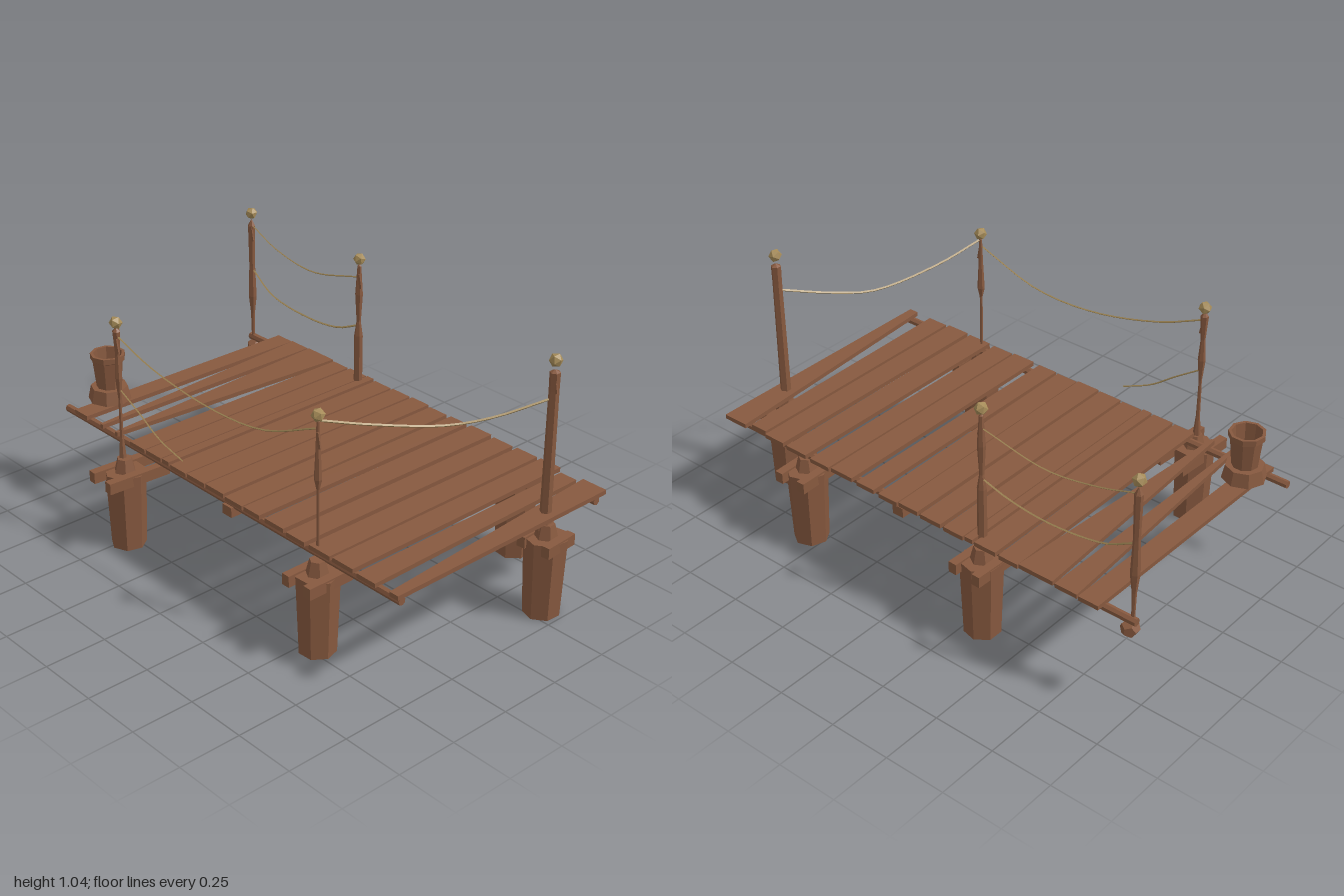
import * as THREE from 'three';

const wood = new THREE.MeshStandardMaterial({ color: 0x87593f, flatShading: true });
wood.name = 'weathered wood';
const straw = new THREE.MeshStandardMaterial({ color: 0xa58b58, flatShading: true });
straw.name = 'rope straw';

export function createModel() {
  const root = new THREE.Group();
  root.name = 'pier';

  const add = (name, geometry, material, x = 0, y = 0, z = 0, parent = root) => {
    const mesh = new THREE.Mesh(geometry, material);
    mesh.name = name;
    mesh.position.set(x, y, z);
    parent.add(mesh);
    return mesh;
  };
  const box = (name, w, h, d, x, y, z, parent) =>
    add(name, new THREE.BoxGeometry(w, h, d), wood, x, y, z, parent);
  const lathe = (profile, sides) =>
    new THREE.LatheGeometry(profile.map(([r, y]) => new THREE.Vector2(r, y)), sides);

  // Deck planks: left and right edge at the back end, then at the front end
  const planks = [
    [-0.86, -0.775, -0.87, -0.79], [-0.77, -0.675, -0.70, -0.685], [-0.665, -0.515, -0.605, -0.59],
    [-0.51, -0.425, -0.51, -0.42], [-0.41, -0.315, -0.41, -0.32], [-0.305, -0.27, -0.31, -0.27],
    [-0.26, -0.17, -0.26, -0.17], [-0.155, -0.06, -0.16, -0.06], [-0.045, 0.045, -0.05, 0.05],
    [0.055, 0.145, 0.06, 0.155], [0.17, 0.255, 0.165, 0.25], [0.28, 0.385, 0.28, 0.38],
    [0.40, 0.495, 0.395, 0.49], [0.52, 0.62, 0.515, 0.62], [0.64, 0.735, 0.635, 0.735],
    [0.755, 0.83, 0.755, 0.845], [0.845, 0.955, 0.915, 0.955],
  ];
  const deck = new THREE.Group();
  deck.name = 'deck';
  root.add(deck);
  planks.forEach(([bl, br, fl, fr], i) => {
    const g = new THREE.BoxGeometry(1, 0.018, 1);
    const p = g.attributes.position;
    const back = -0.58 + (i === 15 ? 0.02 : 0);
    for (let k = 0; k < p.count; k++) {
      const front = p.getZ(k) > 0;
      const left = p.getX(k) < 0;
      p.setX(k, front ? (left ? fl : fr) : (left ? bl : br));
      p.setZ(k, front ? 0.48 : back);
    }
    g.computeVertexNormals();
    add('plank', g, wood, 0, 0.406 + (i % 3) * 0.003, 0, deck);
  });

  // Long round stringers and the cross beam beneath the planks
  for (const [x0, x1, z] of [[-0.95, 0.95, 0.455], [-0.99, 0.95, -0.535]]) {
    const rail = add('stringer', new THREE.CylinderGeometry(0.016, 0.016, x1 - x0, 7), wood,
      (x0 + x1) / 2, 0.385, z);
    rail.rotation.z = Math.PI / 2;
  }
  box('crossBeam', 0.05, 0.04, 1.04, 0.07, 0.36, -0.04);

  // Pilings with clamping beams and a narrow neck
  const pilings = [
    [-0.48, 0.53, 0.27], [-0.315, -0.54, 0.19], [0.555, 0.475, 0.2], [0.56, -0.54, 0.19], [0.92, -0.3, 0.15],
  ];
  pilings.forEach(([x, z, beam], i) => {
    const g = new THREE.Group();
    g.name = 'piling';
    g.position.set(x, 0, z);
    g.rotation.y = (i - 2) * 0.03;
    root.add(g);
    const post = add('pilingPost', new THREE.CylinderGeometry(0.082, 0.07, 0.32, 7), wood, 0, 0.16, 0, g);
    post.rotation.y = i * 0.7;
    for (const side of [-1, 1])
      box('clampBeam', 0.035, 0.045, beam, side * 0.055, 0.305, i === 0 ? -0.02 : 0, g);
    add('pilingNeck', new THREE.CylinderGeometry(0.03, 0.045, 0.06, 6), wood, 0, 0.345, 0, g);
  });

  // Uneven lamp poles: x, z, knob height, then a profile of radius and height
  const poles = [
    [-0.97, -0.53, 0.955, [[0, 0.34], [0.006, 0.36], [0.009, 0.5], [0.018, 0.58], [0.013, 0.72], [0.016, 0.9], [0, 0.93]]],
    [-0.49, 0.53, 0.935, [[0, 0.34], [0.016, 0.37], [0.008, 0.46], [0.006, 0.62], [0.015, 0.71], [0.009, 0.8], [0.016, 0.9], [0, 0.92]]],
    [-0.31, -0.53, 0.95, [[0, 0.34], [0.018, 0.38], [0.018, 0.62], [0.009, 0.68], [0.016, 0.8], [0.008, 0.92], [0, 0.93]]],
    [0.54, 0.46, 0.925, [[0, 0.34], [0.006, 0.36], [0.006, 0.64], [0.015, 0.68], [0.009, 0.8], [0.006, 0.9], [0, 0.91]]],
    [0.91, -0.3, 1.015, [[0, 0.3], [0.034, 0.32], [0.034, 0.35], [0.022, 0.4], [0.019, 0.9], [0.02, 0.97], [0, 0.98]]],
  ];
  poles.forEach(([x, z, top, profile], i) => {
    const g = new THREE.Group();
    g.name = 'pole';
    g.position.set(x, 0, z);
    root.add(g);
    add('poleShaft', lathe(profile, 6), wood, 0, 0, 0, g);
    const knob = add('poleKnob', new THREE.IcosahedronGeometry(0.026, 0), straw, 0, top, 0, g);
    knob.rotation.set(i, i * 0.6, 0.3);
    const splint = box('splinter', 0.012, 0.06, 0.006, 0.012, top - 0.09, 0.008, g);
    splint.rotation.z = 0.2;
  });
  // Rough foot on the pole that hangs off the deck corner
  add('poleFoot', new THREE.DodecahedronGeometry(0.036, 0), wood, -0.96, 0.345, -0.53);

  // Sagging ropes
  const rope = (r, ...points) => add('rope', new THREE.TubeGeometry(
    new THREE.CatmullRomCurve3(points.map(p => new THREE.Vector3(...p))), 16, r, 4), straw);
  rope(0.003, [-0.96, 0.9, -0.53], [-0.8, 0.845, -0.52], [-0.58, 0.815, -0.52], [-0.32, 0.87, -0.53]);
  rope(0.004, [-0.96, 0.7, -0.53], [-0.83, 0.63, -0.52], [-0.6, 0.602, -0.52], [-0.42, 0.62, -0.52], [-0.32, 0.66, -0.53]);
  rope(0.0035, [-0.48, 0.88, 0.53], [-0.3, 0.81, 0.515], [0, 0.755, 0.49], [0.27, 0.768, 0.475], [0.53, 0.87, 0.46]);
  rope(0.003, [-0.48, 0.66, 0.53], [-0.38, 0.595, 0.52], [-0.28, 0.525, 0.51], [-0.16, 0.475, 0.495]);
  rope(0.005, [0.54, 0.9, 0.45], [0.6, 0.845, 0.27], [0.71, 0.797, 0.02], [0.8, 0.815, -0.12], [0.9, 0.865, -0.29]);

  // Bucket with a wide foot and an open rim
  const bucket = new THREE.Group();
  bucket.name = 'bucket';
  bucket.position.set(-0.83, 0, 0.337);
  root.add(bucket);
  add('bucketFoot', new THREE.CylinderGeometry(0.074, 0.086, 0.055, 8), wood, 0, 0.463, 0, bucket);
  add('bucketBody', lathe([[0.05, 0.485], [0.062, 0.605], [0.07, 0.61], [0.07, 0.632],
    [0.058, 0.632], [0.052, 0.56], [0, 0.56]], 9), wood, 0, 0, 0, bucket);

  return root;
}
